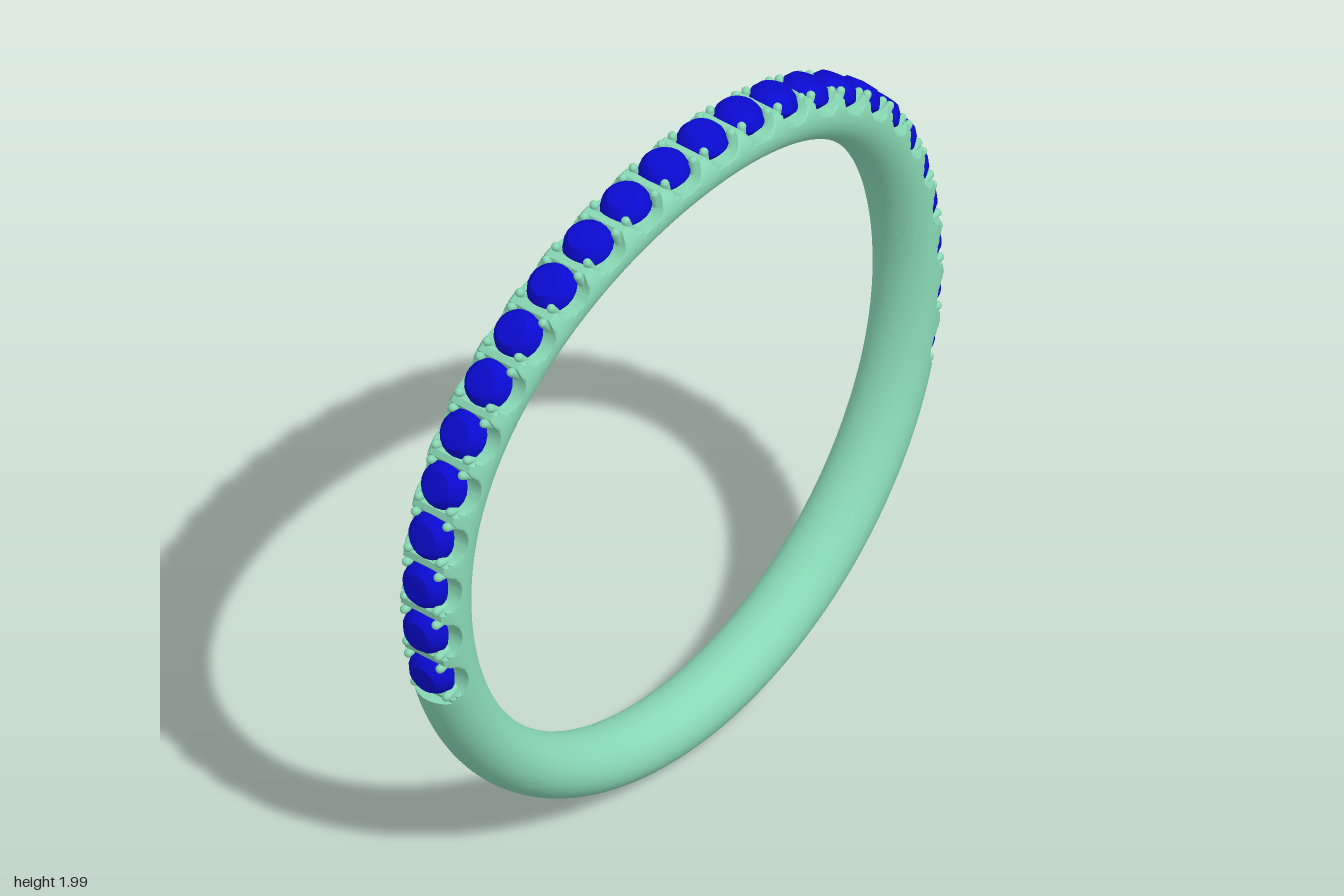
import * as THREE from 'three';
import { toCreasedNormals } from 'three/addons/utils/BufferGeometryUtils.js';

const STONES = 25;
const STEP = THREE.MathUtils.degToRad(8.63);
const LIMIT = STEP * STONES / 2;      // half angle of the stone-set arc, from the top
const R = 0.913, HALF_R = 0.083, HALF_Z = 0.092;

// The band bows forward towards the top
const bow = a => -0.052 + 0.098 * Math.pow(Math.max(0, Math.cos(a)), 2.2);

// Outer radius limit: a U-shaped cut at each stone, full height on the plain shank
function cap(a) {
  if (Math.abs(a) > LIMIT) return 2;
  const u = (a - Math.round(a / STEP) * STEP) * 0.97 / 0.056;
  return 0.972 - (Math.abs(u) < 1 ? 0.05 * Math.sqrt(1 - u * u) : 0);
}

function bandGeometry() {
  const angles = [];
  const setSegs = STONES * 16, plainSegs = 90, sides = 40;
  for (let i = 0; i <= setSegs; i++) angles.push(-LIMIT * 0.9999 + 2 * LIMIT * 0.9999 * i / setSegs);
  const start = LIMIT + 0.002, end = 2 * Math.PI - LIMIT - 0.002;
  for (let i = 0; i <= plainSegs; i++) angles.push(start + (end - start) * i / plainSegs);

  const pos = [], idx = [], n = angles.length;
  angles.forEach((a0, i) => {
    const a = a0 > Math.PI ? a0 - 2 * Math.PI : a0;
    for (let j = 0; j < sides; j++) {
      const s = j / sides * Math.PI * 2;
      const r = Math.min(R + HALF_R * Math.cos(s), cap(a));
      pos.push(r * Math.sin(a), 1 + r * Math.cos(a), bow(a) + HALF_Z * Math.sin(s));
      const k = (j + 1) % sides, p = i * sides, q = ((i + 1) % n) * sides;
      idx.push(p + j, p + k, q + j, p + k, q + k, q + j);
    }
  });
  const g = new THREE.BufferGeometry();
  g.setAttribute('position', new THREE.Float32BufferAttribute(pos, 3));
  g.setIndex(idx);
  return toCreasedNormals(g, 0.6);
}

export function createModel() {
  const group = new THREE.Group();
  const metal = new THREE.MeshStandardMaterial({ color: 0x88d8b4 });
  const blue = new THREE.MeshStandardMaterial({ color: 0x0a0ad0 });
  const add = (parent, name, geometry, material) => {
    const m = new THREE.Mesh(geometry, material);
    m.name = name;
    parent.add(m);
    return m;
  };

  add(group, 'band', bandGeometry(), metal);

  // Round cut stone: pointed below, wide girdle, bevelled crown and flat table
  const profile = [[0, 0.895], [0.05, 0.928], [0.067, 0.948], [0.067, 0.956],
    [0.058, 0.978], [0.042, 0.994], [0, 0.998]].map(p => new THREE.Vector2(...p));
  const stoneGeo = toCreasedNormals(new THREE.LatheGeometry(profile, 20), 0.4);
  const prongGeo = new THREE.CapsuleGeometry(0.012, 0.04, 4, 10);

  // A frame whose y axis points outward from the ring's centre
  const frame = (a, name) => {
    const f = new THREE.Group();
    f.name = name;
    f.position.set(0, 1, bow(a));
    f.rotation.z = -a;
    group.add(f);
    return f;
  };

  for (let i = 0; i < STONES; i++) {
    add(frame((i - (STONES - 1) / 2) * STEP, 'stoneSetting'), 'stone', stoneGeo, blue);
  }

  // Four prongs in each gap between stones, two at either end of the row
  for (let i = 0; i <= STONES; i++) {
    const f = frame((i - STONES / 2) * STEP, 'prongs');
    for (const sx of [-1, 1]) {
      if ((i === 0 && sx < 0) || (i === STONES && sx > 0)) continue;
      for (const sz of [-1, 1]) {
        add(f, 'prong', prongGeo, metal).position.set(sx * 0.021, 0.955, sz * 0.052);
      }
    }
  }
  return group;
}
